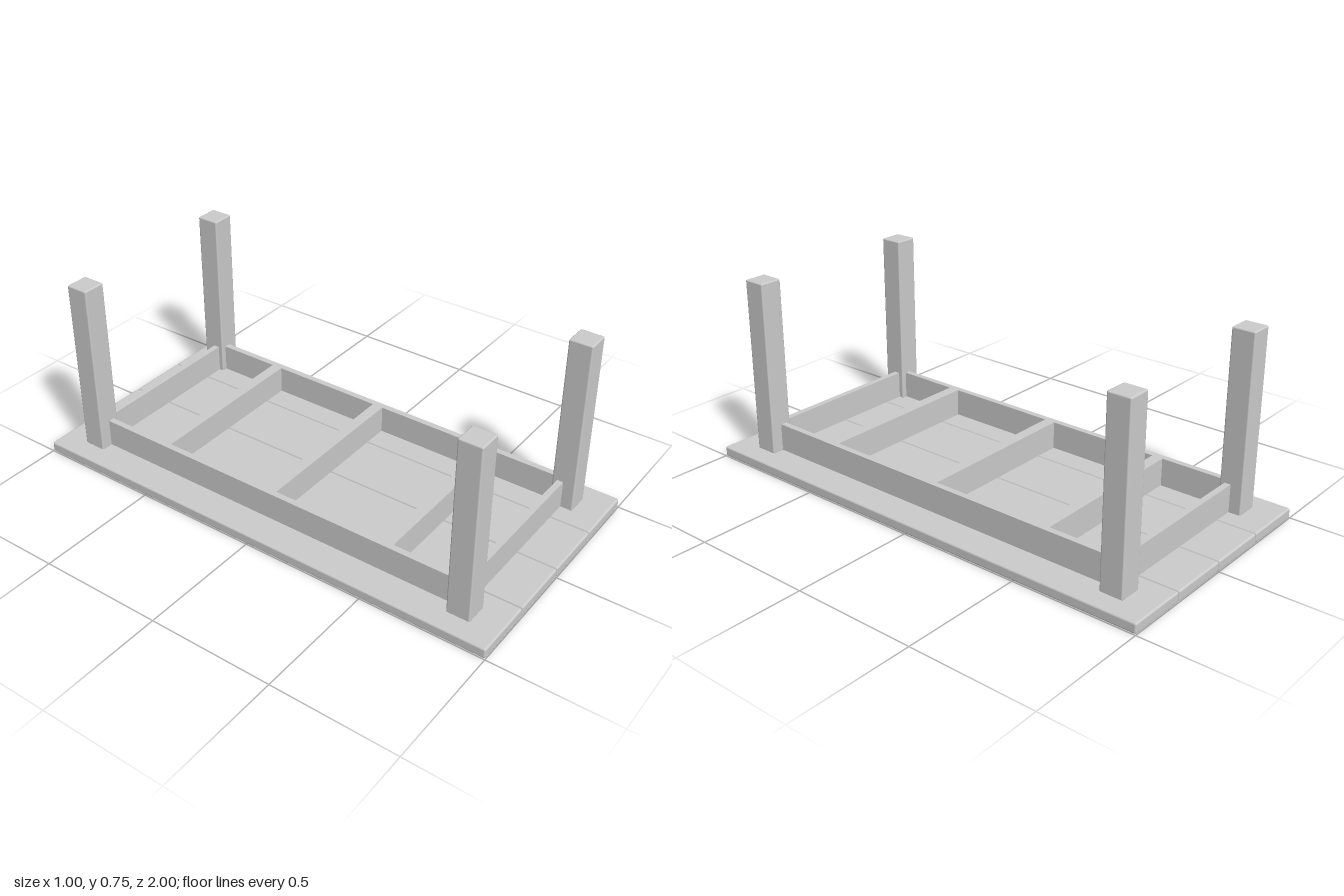
import * as THREE from 'three';
import { RoundedBoxGeometry } from 'three/addons/geometries/RoundedBoxGeometry.js';

const TOP = 0.042;          // thickness of the table top
const RAIL_TOP = 0.154;     // height the apron reaches
const material = new THREE.MeshStandardMaterial({ color: 0xcccccc });

// Box given by its size, its base height and its centre; radius eases the edges.
function board(name, w, h, d, x, y, z, radius = 0) {
  const geometry = radius
    ? new RoundedBoxGeometry(w, h, d, 2, radius)
    : new THREE.BoxGeometry(w, h, d);
  const mesh = new THREE.Mesh(geometry, material);
  mesh.name = name;
  mesh.position.set(x, y + h / 2, z);
  return mesh;
}

export function createModel() {
  const table = new THREE.Group();
  table.name = 'upturnedTable';

  // Four long planks lying face down
  const planks = new THREE.Group();
  planks.name = 'tableTop';
  for (let i = 0; i < 4; i++) {
    planks.add(board('plank', 0.248, TOP, 2, -0.375 + i * 0.25, 0, 0, 0.008));
  }
  table.add(planks);

  // Apron, braces and legs standing on the planks
  const frame = new THREE.Group();
  frame.name = 'frame';
  const railHeight = RAIL_TOP - TOP;
  for (const s of [-1, 1]) {
    frame.add(board('sideRail', 0.025, railHeight, 1.6, s * 0.358, TOP, 0));
    frame.add(board('endRail', 0.654, railHeight, 0.025, 0, TOP, s * 0.83));
    for (const t of [-1, 1]) {
      frame.add(board('leg', 0.093, 0.75 - TOP + 0.004, 0.093, s * 0.371, TOP - 0.004, t * 0.844, 0.006));
    }
  }
  for (const z of [-0.514, 0, 0.514]) {
    frame.add(board('crossBrace', 0.693, railHeight, 0.045, 0, TOP, z));
  }
  table.add(frame);

  return table;
}
